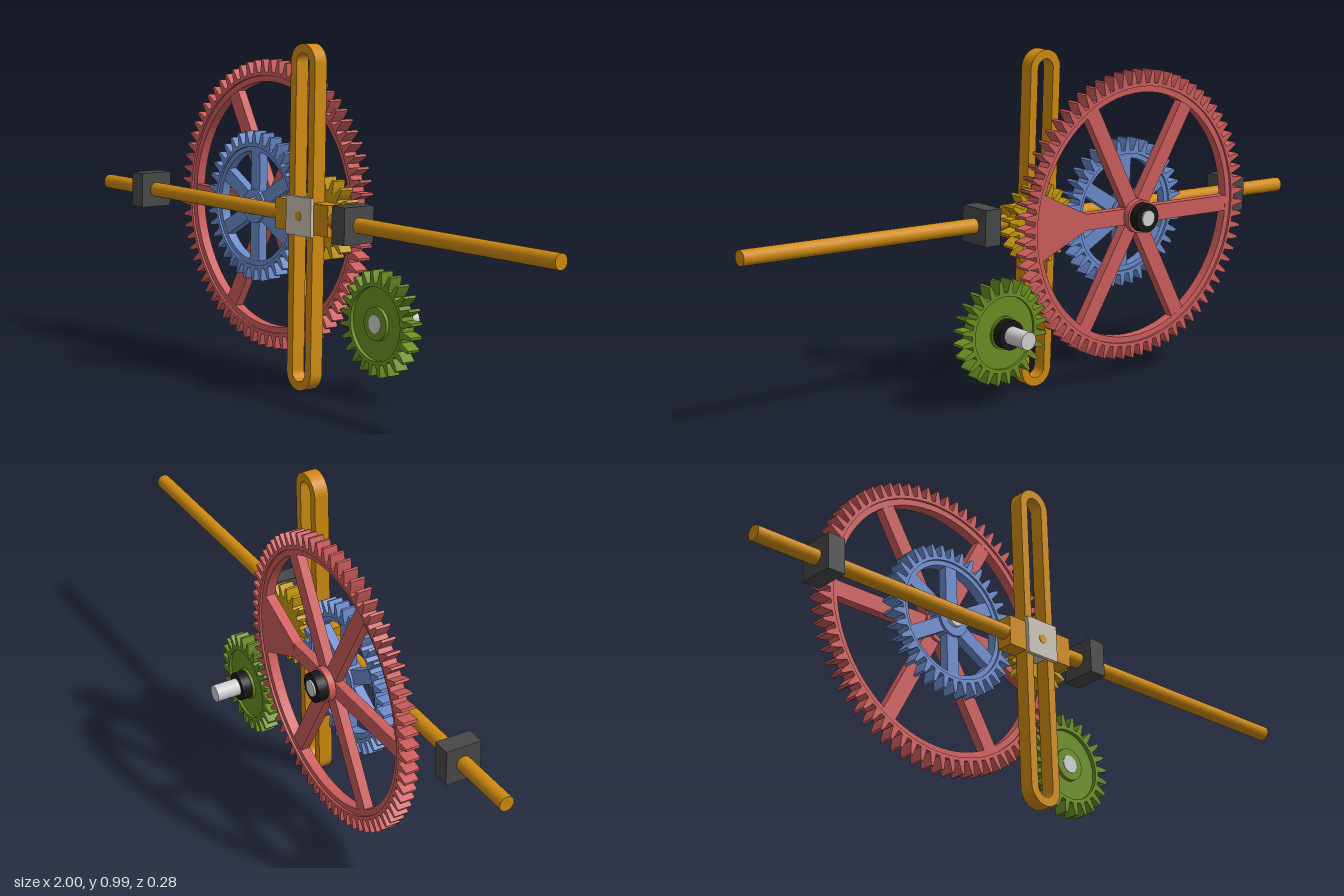
import * as THREE from 'three';

const mat = (name, color, side = THREE.FrontSide) =>
  Object.assign(new THREE.MeshStandardMaterial({ color, side }), { name });

export function createModel() {
  const M = {
    red: mat('red', 0xcd5c5c), blue: mat('blue', 0x6a8acb),
    green: mat('green', 0x6b8e23), yellow: mat('yellow', 0xc69a10),
    orange: mat('orange', 0xce8a10), plate: mat('pale grey', 0xcac2b4),
    steel: mat('steel', 0xd0d0d0), grey: mat('dark grey', 0x484848),
    black: mat('black', 0x161616),
  };
  const model = new THREE.Group();
  model.name = 'gearMechanism';
  // Whole mechanism leans slightly
  const body = new THREE.Group();
  body.name = 'mechanism';
  body.position.y = 0.5;
  body.rotation.set(-0.033, 0, 0.014);
  model.add(body);

  const add = (parent, name, geo, material, x = 0, y = 0, z = 0) => {
    const m = new THREE.Mesh(geo, material);
    m.name = name;
    m.position.set(x, y, z);
    parent.add(m);
    return m;
  };
  const box = (p, name, w, h, d, material, x, y, z) =>
    add(p, name, new THREE.BoxGeometry(w, h, d), material, x, y, z);
  // Cylinder along z between two depths
  const rodZ = (p, name, r, z0, z1, material, x = 0, y = 0, sides = 32) =>
    add(p, name, new THREE.CylinderGeometry(r, r, z1 - z0, sides).rotateX(Math.PI / 2),
      material, x, y, (z0 + z1) / 2);
  // Flat shape extruded and centred on z
  const slab = (shape, depth) =>
    new THREE.ExtrudeGeometry(shape, { depth, bevelEnabled: false, curveSegments: 48 })
      .translate(0, 0, -depth / 2);
  const circleHole = (shape, r) => {
    const path = new THREE.Path();
    path.absarc(0, 0, r, 0, Math.PI * 2, true);
    shape.holes.push(path);
  };
  const ring = (r0, r1, depth) => {
    const s = new THREE.Shape();
    s.absarc(0, 0, r1, 0, Math.PI * 2, false);
    circleHole(s, r0);
    return slab(s, depth);
  };
  // Toothed rim, with a tooth centred on angle 0
  const toothedRing = (teeth, rTip, rRoot, rHole, depth) => {
    const pts = [], step = (Math.PI * 2) / teeth;
    const profile = [[-0.30, rRoot], [-0.21, (rRoot + rTip) / 2], [-0.1, rTip],
      [0.1, rTip], [0.21, (rRoot + rTip) / 2], [0.30, rRoot]];
    for (let i = 0; i < teeth; i++)
      for (const [t, r] of profile) {
        const a = (i + t) * step;
        pts.push(new THREE.Vector2(Math.cos(a) * r, Math.sin(a) * r));
      }
    const s = new THREE.Shape(pts);
    if (rHole) circleHole(s, rHole);
    return slab(s, depth);
  };
  const gearGroup = (name, x, y, z) => {
    const g = new THREE.Group();
    g.name = name;
    g.position.set(x, y, z);
    body.add(g);
    return g;
  };
  const spokes = (g, count, start, r0, r1, width, depth, material) => {
    for (let i = 0; i < count; i++) {
      const a = start + (i * Math.PI * 2) / count, r = (r0 + r1) / 2;
      box(g, 'spoke', r1 - r0, width, depth, material,
        Math.cos(a) * r, Math.sin(a) * r, 0).rotation.z = a;
    }
  };

  const T = 0.043, redZ = -0.021, blueZ = 0.035;
  const main = [-0.286, 0.002], driver = [0.206, -0.283], pinion = [0.038, 0.002];
  const meshAngle = Math.atan2(driver[1] - main[1], driver[0] - main[0]);

  // Large red wheel
  const red = gearGroup('largeWheel', ...main, redZ);
  add(red, 'toothedRim', toothedRing(72, 0.432, 0.394, 0.384, T), M.red).rotation.z = meshAngle;
  add(red, 'innerRim', ring(0.366, 0.386, 0.03), M.red);
  spokes(red, 6, 0, 0.03, 0.375, 0.048, 0.028, M.red);
  rodZ(red, 'hub', 0.05, -0.034, 0.022, M.red);
  const wedge = new THREE.Shape([[0.19, -0.022], [0.365, -0.1], [0.378, 0], [0.365, 0.1], [0.19, 0.022]]
    .map(([x, y]) => new THREE.Vector2(x, y)));
  add(red, 'rimWedge', slab(wedge, 0.03), M.red);
  rodZ(red, 'collar', 0.043, -0.063, -0.033, M.black);
  rodZ(red, 'axle', 0.024, -0.068, 0.088, M.steel);

  // Blue wheel on the same axle
  const blue = gearGroup('middleWheel', ...main, blueZ);
  add(blue, 'toothedRim', toothedRing(36, 0.223, 0.187, 0.177, T), M.blue);
  add(blue, 'innerRim', ring(0.163, 0.179, 0.03), M.blue);
  spokes(blue, 6, Math.PI / 2, 0.03, 0.17, 0.042, 0.028, M.blue);
  add(blue, 'hub', ring(0.023, 0.05, T), M.blue);

  // Yellow pinion behind the slotted yoke
  const yellow = gearGroup('pinion', ...pinion, blueZ);
  add(yellow, 'toothedDisc', toothedRing(18, 0.119, 0.084, 0, T), M.yellow)
    .rotation.z = Math.PI / 18;

  // Green drive gear
  const green = gearGroup('driveGear', ...driver, redZ);
  add(green, 'toothedRim', toothedRing(24, 0.153, 0.117, 0.106, T), M.green)
    .rotation.z = meshAngle + Math.PI + Math.PI / 24;
  rodZ(green, 'web', 0.108, -0.014, 0.01, M.green, 0, 0, 48);
  add(green, 'hub', ring(0.026, 0.048, T), M.green);
  rodZ(green, 'collar', 0.043, -0.051, -0.021, M.black);
  rodZ(green, 'shaft', 0.026, -0.126, 0.023, M.steel);

  // Slotted yoke
  const rodY = 0.006, yokeZ = 0.084;
  const stadium = (target, r, half) => {
    target.absarc(0, half, r, 0, Math.PI, false);
    target.absarc(0, -half, r, Math.PI, Math.PI * 2, false);
    target.closePath();
    return target;
  };
  const slot = stadium(new THREE.Shape(), 0.054, 0.443);
  slot.holes.push(stadium(new THREE.Path(), 0.028, 0.443));
  add(body, 'slottedYoke', slab(slot, 0.043), M.orange, -0.002, 0, yokeZ);

  // Sliding rod, its yoke blocks and guide blocks
  for (const side of [-1, 1]) {
    add(body, 'rod', new THREE.CylinderGeometry(0.022, 0.022, 0.955, 32).rotateZ(Math.PI / 2),
      M.orange, side * 0.5225, rodY, yokeZ);
    box(body, 'yokeBlock', 0.072, 0.09, 0.052, M.orange, side * 0.082, rodY, 0.08);
  }
  for (const x of [-0.77, 0.2])
    box(body, 'guideBlock', 0.055, 0.106, 0.106, M.grey, x, rodY, yokeZ);

  // Slider and crank pin
  box(body, 'slider', 0.054, 0.1, 0.05, M.plate, -0.002, 0.009, 0.085);
  box(body, 'sliderPlate', 0.112, 0.112, 0.011, M.plate, 0, 0.009, 0.111);
  rodZ(body, 'crankPin', 0.014, 0.04, 0.118, M.yellow, 0, 0.009, 24);

  return model;
}
